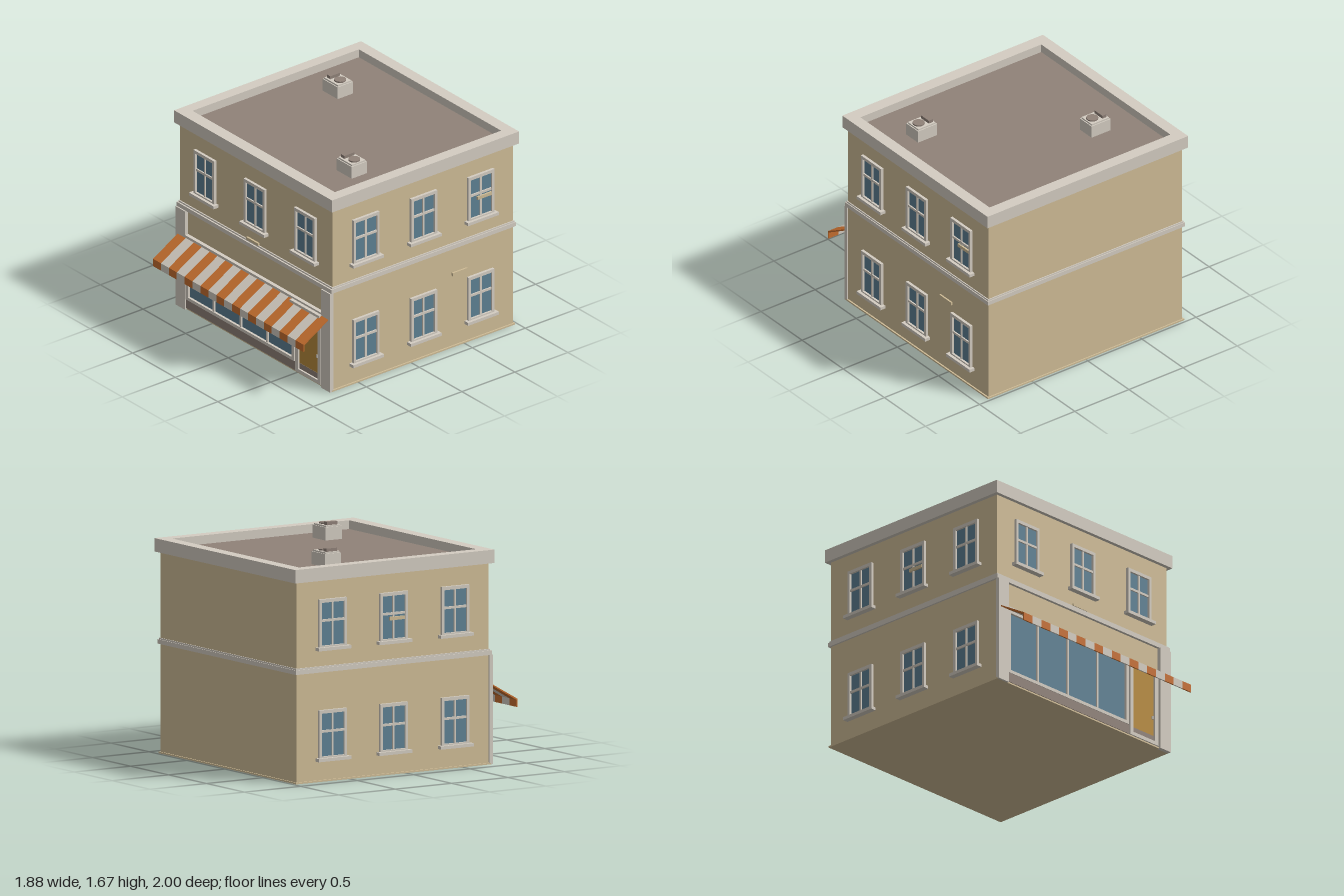
import * as THREE from 'three';

const mat = (name, color) => {
  const m = new THREE.MeshStandardMaterial({ color });
  m.name = name;
  return m;
};

export function createModel() {
  const root = new THREE.Group();
  root.name = 'cornerShop';
  const wall = mat('tan wall', 0xd0bd97);
  const trim = mat('pale trim', 0xd4cdc2);
  const glass = mat('blue glass', 0x5e8194);
  const orange = mat('awning orange', 0xc66f2f);
  const ochre = mat('door ochre', 0xb88b3b);
  const brown = mat('roof brown', 0x908279);

  const add = (parent, name, geo, material) => {
    const m = new THREE.Mesh(geo, material);
    m.name = name;
    parent.add(m);
    return m;
  };
  // box given by its min and max on each axis
  const box = (parent, name, material, x0, x1, y0, y1, z0, z1) => {
    const m = add(parent, name, new THREE.BoxGeometry(x1 - x0, y1 - y0, z1 - z0), material);
    m.position.set((x0 + x1) / 2, (y0 + y1) / 2, (z0 + z1) / 2);
    return m;
  };
  const rect = (T, x0, x1, y0, y1) => {
    const p = new T();
    p.moveTo(x0, y0);
    p.lineTo(x1, y0);
    p.lineTo(x1, y1);
    p.lineTo(x0, y1);
    p.closePath();
    return p;
  };
  // rectangular ring, extruded towards +z
  const ring = (o, i, depth) => {
    const s = rect(THREE.Shape, ...o);
    s.holes.push(rect(THREE.Path, ...i));
    return new THREE.ExtrudeGeometry(s, { depth, bevelEnabled: false });
  };

  // main block, floor band and plinth
  box(root, 'walls', wall, -0.895, 0.895, 0, 1.53, -0.97, 0.735);
  box(root, 'plinth', wall, -0.907, 0.907, 0, 0.012, -0.98, 0.75);
  box(root, 'floorBand', trim, -0.91, 0.91, 0.815, 0.848, -0.983, 0.757);
  box(root, 'floorBandLip', trim, -0.903, 0.903, 0.848, 0.86, -0.977, 0.745);

  // parapet and sunken roof
  const parapet = add(root, 'parapet', ring([-0.927, 0.927, -0.765, 1], [-0.835, 0.835, -0.665, 0.905], 0.1), trim);
  parapet.rotation.x = -Math.PI / 2;
  parapet.position.y = 1.5;
  box(root, 'roof', brown, -0.84, 0.84, 1.53, 1.535, -0.91, 0.67);

  // sash window, origin at wall surface and centre, facing +z
  const makeWindow = (x, y, z, turn) => {
    const g = new THREE.Group();
    g.name = 'window';
    add(g, 'windowFrame', ring([-0.122, 0.122, -0.18, 0.18], [-0.1, 0.1, -0.165, 0.155], 0.022), trim);
    box(g, 'windowPane', glass, -0.101, 0.101, -0.166, 0.156, 0, 0.005);
    box(g, 'verticalBar', trim, -0.008, 0.008, -0.166, 0.156, 0, 0.014);
    box(g, 'crossBar', trim, -0.101, 0.101, 0.012, 0.03, 0, 0.016);
    box(g, 'windowSill', trim, -0.145, 0.145, -0.2, -0.176, 0, 0.045);
    g.position.set(x, y, z);
    g.rotation.y = turn;
    root.add(g);
  };
  for (const x of [-0.59, 0, 0.59]) makeWindow(x, 1.178, 0.735, 0);
  for (const side of [-1, 1])
    for (const z of [0.43, -0.115, -0.655])
      for (const y of [0.353, 1.178]) makeWindow(side * 0.895, y, z, side * Math.PI / 2);

  // small wall ledges
  box(root, 'frontLedge', wall, -0.1, 0.04, 0.86, 0.88, 0.73, 0.75);
  box(root, 'sideLedge', wall, 0.89, 0.908, 0.59, 0.615, -0.53, -0.39);
  box(root, 'windowLedge', wall, 0.89, 0.915, 1.15, 1.175, -0.755, -0.62);
  box(root, 'windowLedge', wall, -0.915, -0.89, 1.15, 1.175, -0.15, -0.02);

  // ground floor pilasters
  for (const s of [-1, 1]) {
    const p = box(root, 'pilaster', trim, -0.054, 0.054, 0, 0.815, 0.735, 0.767);
    p.position.x = s * 0.853;
  }

  // shop window
  box(root, 'shopBase', brown, -0.8, 0.485, 0.012, 0.085, 0.73, 0.755);
  add(root, 'shopFrame', ring([-0.8, 0.475, 0.085, 0.605], [-0.77, 0.445, 0.11, 0.57], 0.025), trim).position.z = 0.735;
  box(root, 'shopGlass', glass, -0.772, 0.447, 0.108, 0.572, 0.735, 0.741);
  for (const x of [-0.48, -0.165, 0.15]) box(root, 'shopMullion', trim, x - 0.008, x + 0.008, 0.108, 0.572, 0.735, 0.755);
  box(root, 'shopHead', trim, -0.8, 0.8, 0.6, 0.618, 0.73, 0.765);

  // door
  add(root, 'doorFrame', ring([0.488, 0.785, 0.012, 0.605], [0.52, 0.747, 0.04, 0.58], 0.025), trim).position.z = 0.735;
  box(root, 'doorPanel', ochre, 0.518, 0.749, 0.085, 0.582, 0.735, 0.744);
  box(root, 'doorKick', brown, 0.518, 0.749, 0.038, 0.085, 0.735, 0.746);
  box(root, 'doorHandle', trim, 0.728, 0.736, 0.215, 0.24, 0.74, 0.755);
  box(root, 'doorCanopy', trim, 0.46, 0.805, 0.58, 0.603, 0.735, 0.792);

  // striped awning with valance
  const awning = new THREE.Group();
  awning.name = 'awning';
  root.add(awning);
  const profile = new THREE.Shape([[0.765, 0.588], [0.99, 0.456], [0.99, 0.404], [1, 0.404], [1, 0.464], [0.765, 0.598]]
    .map(p => new THREE.Vector2(...p)));
  const count = 19, w = 1.765 / count;
  const stripe = new THREE.ExtrudeGeometry(profile, { depth: w, bevelEnabled: false });
  stripe.rotateY(-Math.PI / 2);
  for (let i = 0; i < count; i++)
    add(awning, 'awningStripe', stripe, i % 2 ? trim : orange).position.x = -0.883 + (i + 1) * w;

  // rooftop cooling units
  for (const [x, z] of [[-0.498, -0.435], [0.56, 0.283]]) {
    const u = new THREE.Group();
    u.name = 'roofUnit';
    box(u, 'unitBody', trim, -0.088, 0.088, 1.535, 1.632, -0.072, 0.072);
    box(u, 'unitLid', trim, -0.08, 0.08, 1.632, 1.644, -0.064, 0.064);
    add(u, 'unitFan', new THREE.CylinderGeometry(0.045, 0.045, 0.012, 14), brown).position.set(0.028, 1.648, 0);
    box(u, 'unitVent', brown, -0.068, -0.03, 1.644, 1.668, -0.047, 0.047);
    u.position.set(x, 0, z);
    root.add(u);
  }
  return root;
}
